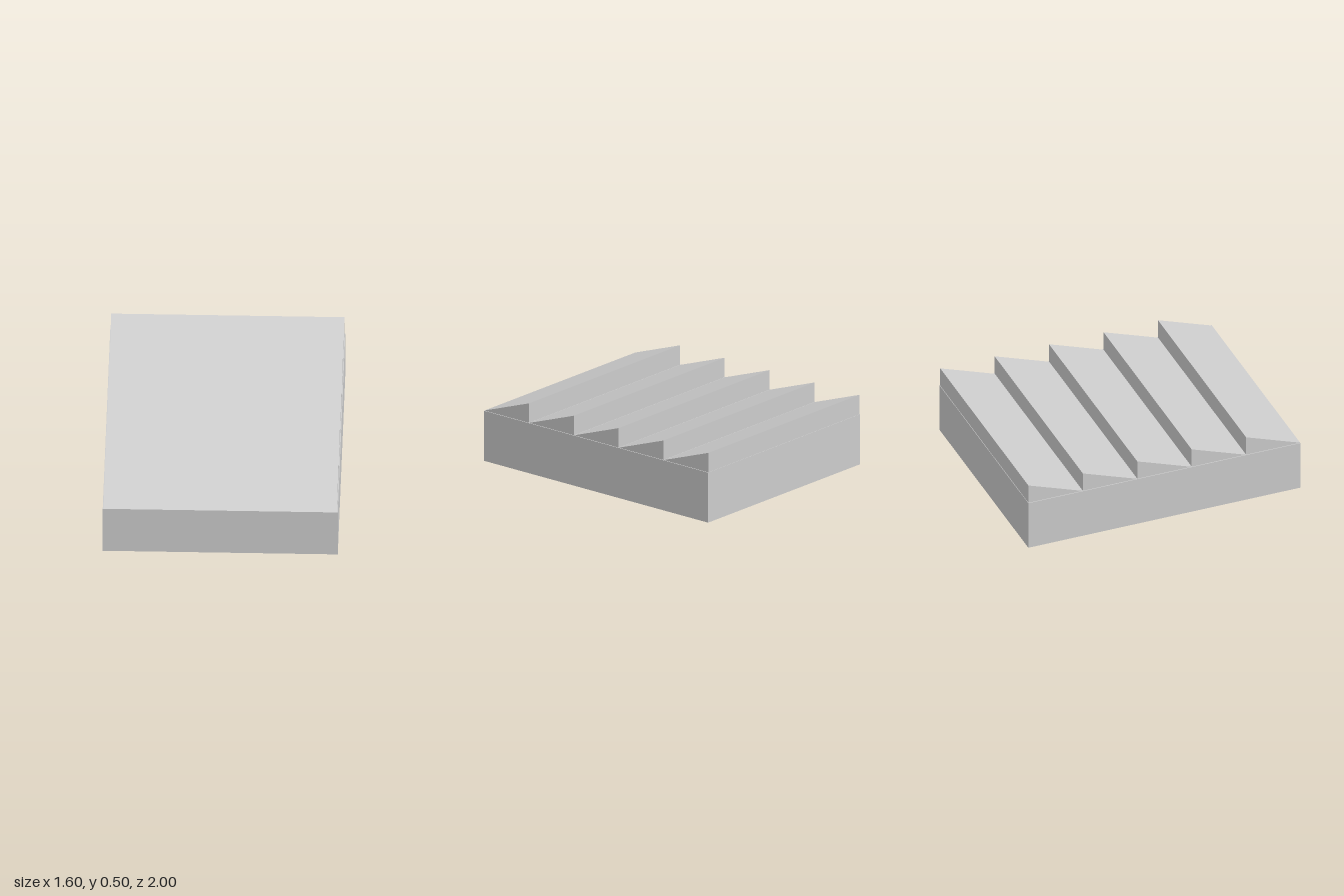
import * as THREE from 'three';

const WIDTH = 1.6, DEPTH = 2, WALL = 0.36, RIDGE = 0.14, BAYS = 5;

export function createModel() {
  const model = new THREE.Group();
  model.name = 'sawtoothRoofHall';
  const grey = new THREE.MeshStandardMaterial({ color: 0xcccccc, side: THREE.DoubleSide });
  grey.name = 'light grey';

  // Thin-walled hall: a box with a flat deck and an open underside
  const shell = new THREE.BoxGeometry(WIDTH, WALL, DEPTH).translate(0, WALL / 2, 0);
  const index = Array.from(shell.index.array);
  index.splice(18, 6); // remove the floor
  shell.setIndex(index);
  shell.clearGroups();
  const hall = new THREE.Mesh(shell, grey);
  hall.name = 'hallWalls';
  model.add(hall);

  // Sawtooth bays: each slopes up from the front to a vertical back face
  const pitch = DEPTH / BAYS, length = pitch - 0.003, span = WIDTH - 0.012;
  const profile = new THREE.Shape();
  profile.moveTo(0, 0);
  profile.lineTo(-length, RIDGE);
  profile.lineTo(-length, 0);
  profile.closePath();
  const wedge = new THREE.ExtrudeGeometry(profile, { depth: span, bevelEnabled: false });
  wedge.translate(0, 0, -span / 2).rotateY(-Math.PI / 2);

  const roof = new THREE.Group();
  roof.name = 'sawtoothRoof';
  for (let i = 0; i < BAYS; i++) {
    const bay = new THREE.Mesh(wedge, grey);
    bay.name = `roofBay${i + 1}`;
    bay.position.set(0, WALL, DEPTH / 2 - i * pitch);
    roof.add(bay);
  }
  model.add(roof);
  return model;
}
